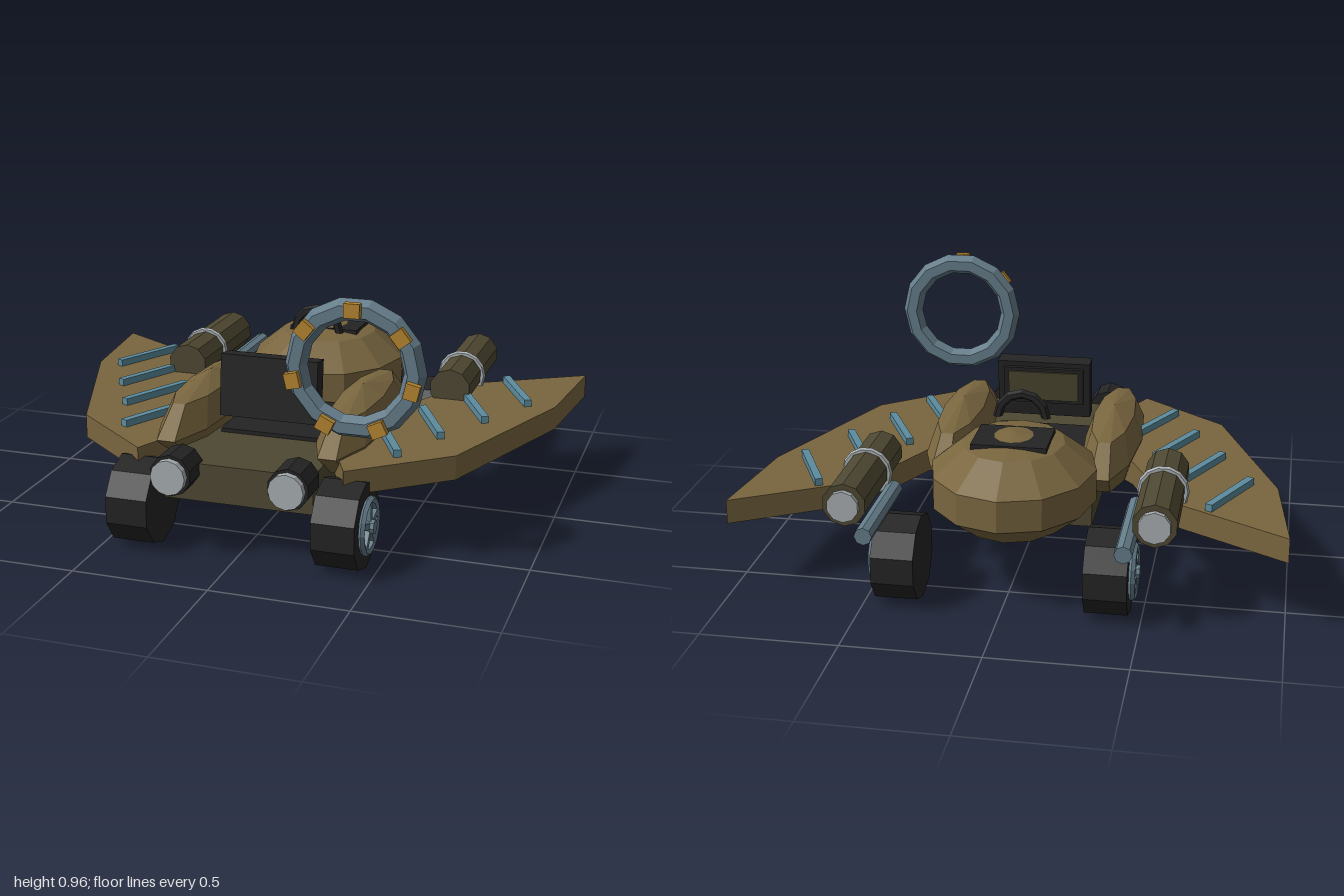
import * as THREE from 'three';

const mat = (name, hex) => {
  const m = new THREE.MeshStandardMaterial({ color: hex });
  m.name = name;
  return m;
};

export function createModel() {
  const model = new THREE.Group();
  model.name = 'wingedBuggy';

  const bronze = mat('bronze', 0x79663f);
  const olive = mat('dark olive', 0x4e4832);
  const black = mat('black', 0x242424);
  const steel = mat('steel blue', 0x647c89);
  const stripe = mat('light blue', 0x5c8c9f);
  const gold = mat('gold', 0xb5842f);
  const silver = mat('silver', 0xa9afb2);

  // Faceted mesh: every face gets its own normal
  const add = (name, geo, material, x = 0, y = 0, z = 0, parent = model) => {
    const g = geo.index ? geo.toNonIndexed() : geo;
    g.computeVertexNormals();
    const mesh = new THREE.Mesh(g, material);
    mesh.name = name;
    mesh.position.set(x, y, z);
    parent.add(mesh);
    return mesh;
  };
  const box = (w, h, d) => new THREE.BoxGeometry(w, h, d);
  const rodZ = (r, len, n = 10) => new THREE.CylinderGeometry(r, r, len, n).rotateX(Math.PI / 2);
  const rodX = (r, len, n = 10) =>
    new THREE.CylinderGeometry(r, r, len, n).rotateY(Math.PI / 2).rotateZ(Math.PI / 2);

  // Chassis and cockpit
  add('chassis', box(0.55, 0.14, 0.99), olive, 0, 0.26, 0.205);
  add('cockpitFloor', box(0.38, 0.02, 0.41), black, 0, 0.335, 0.155);
  const dash = new THREE.Group();
  dash.name = 'dashboard';
  dash.position.set(0, 0.515, 0.34);
  dash.rotation.x = -0.1;
  add('dashPanel', box(0.37, 0.23, 0.07), black, 0, 0, 0, dash);
  add('dashBezel', box(0.32, 0.15, 0.02), black, 0, 0.02, -0.04, dash);
  add('dashScreen', box(0.28, 0.12, 0.008), olive, 0, 0.02, -0.053, dash);
  model.add(dash);

  // Rear dome with hatch plate and grab handle
  add('rearDome', new THREE.SphereGeometry(1, 12, 5).scale(0.318, 0.19, 0.368), bronze, 0, 0.395, -0.38);
  add('hatchPlate', box(0.275, 0.02, 0.21), black, 0, 0.561, -0.395);
  add('grabHandle', new THREE.TorusGeometry(0.09, 0.018, 6, 6, Math.PI), black, 0, 0.58, -0.213);

  for (const s of [-1, 1]) {
    const side = s > 0 ? 'left' : 'right';

    // Side pods
    add(side + 'SidePod', new THREE.SphereGeometry(1, 10, 4).scale(0.112, 0.14, 0.473), bronze, 0.3 * s, 0.37, 0.175);

    // Wings
    const outline = [
      [0.38, 0.69], [0.71, 0.42], [0.95, -0.22], [1, -0.66], [0.61, -0.43],
      [0.47, -0.2], [0.4, -0.05], [0.27, 0.1], [0.27, 0.45],
    ].map(([x, z]) => new THREE.Vector2(x * s, z));
    const wing = new THREE.ExtrudeGeometry(new THREE.Shape(outline), { depth: 0.09, bevelEnabled: false });
    add(side + 'Wing', wing.rotateX(Math.PI / 2), bronze, 0, 0.36, 0);

    // Wing ribs
    for (const [x, z] of [[0.78, -0.33], [0.665, -0.09], [0.55, 0.13], [0.45, 0.36]]) {
      add(side + 'WingRib', box(0.028, 0.028, 0.31), stripe, x * s, 0.373, z).rotation.y = 0.46 * s;
    }

    // Thruster, its clamp and end cap, and the exhaust pipe
    add(side + 'Thruster', rodZ(0.08, 0.535), olive, 0.545 * s, 0.4, -0.4525);
    add(side + 'ThrusterClamp', new THREE.TorusGeometry(0.083, 0.012, 6, 14), silver, 0.545 * s, 0.4, -0.4);
    add(side + 'ThrusterCap', rodZ(0.058, 0.03), silver, 0.545 * s, 0.4, -0.725);
    add(side + 'ExhaustPipe', rodZ(0.032, 0.44, 8), steel, 0.45 * s, 0.333, -0.605);

    // Headlights
    add(side + 'Headlight', rodZ(0.076, 0.125), black, 0.215 * s, 0.31, 0.73);
    add(side + 'HeadlightLens', rodZ(0.064, 0.03, 12), silver, 0.215 * s, 0.31, 0.803);

    // Wheels with five-spoke rims
    for (const z of [0.66, -0.58]) {
      const wheel = new THREE.Group();
      wheel.name = side + (z > 0 ? 'Front' : 'Rear') + 'Wheel';
      wheel.position.set(0.378 * s, 0.16, z);
      add('tyre', rodX(0.159, 0.155), black, 0, 0, 0, wheel);
      add('rim', new THREE.TorusGeometry(0.093, 0.014, 5, 14).rotateY(Math.PI / 2), steel, 0.086 * s, 0, 0, wheel);
      add('hub', rodX(0.026, 0.035, 8), steel, 0.092 * s, 0, 0, wheel);
      for (let i = 0; i < 5; i++) {
        const spoke = box(0.02, 0.09, 0.022).translate(0, 0.05, 0).rotateX((i * 2 * Math.PI) / 5);
        add('spoke', spoke, steel, 0.086 * s, 0, 0, wheel);
      }
      model.add(wheel);
    }
  }

  // Floating hoop with seven gold studs
  const hoop = new THREE.Group();
  hoop.name = 'hoop';
  hoop.position.set(0.408, 0.717, 0.65);
  add('hoopRing', new THREE.TorusGeometry(0.208, 0.04, 6, 14), steel, 0, 0, 0, hoop);
  for (let i = 0; i < 7; i++) {
    const a = (i * 2 * Math.PI) / 7;
    const stud = box(0.055, 0.05, 0.026).translate(0, 0.213, 0).rotateZ(a);
    add('hoopStud', stud, gold, 0, 0, 0.046, hoop);
  }
  model.add(hoop);

  return model;
}
